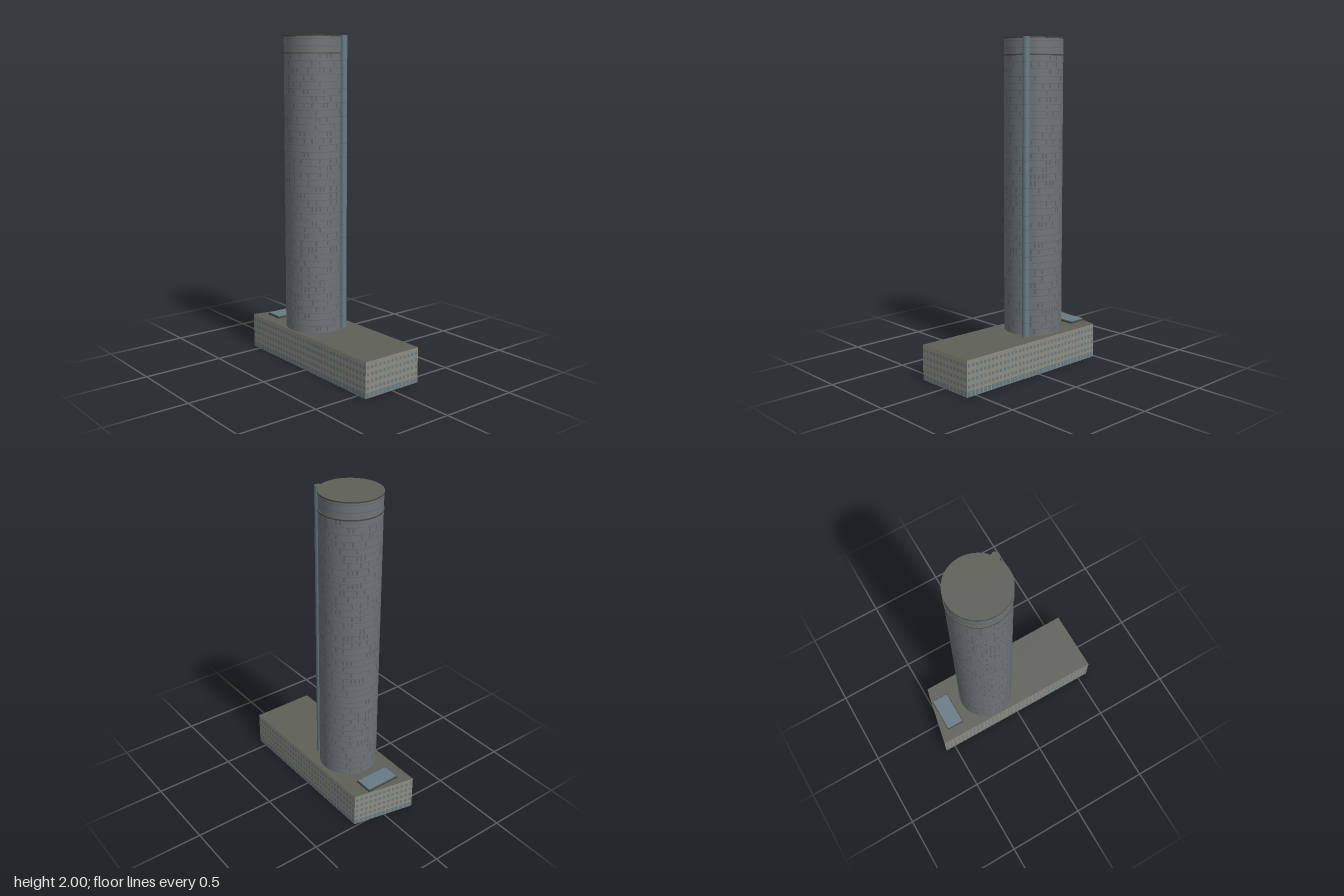
import * as THREE from 'three';
import { mergeGeometries } from 'three/addons/utils/BufferGeometryUtils.js';

const paint = (color) => new THREE.MeshStandardMaterial({ color });
const stone = paint(0x8f8b81), roof = paint(0x5e6058), concrete = paint(0x6e7377);
const glass = paint(0x677a84), trim = paint(0x45483f), pane = paint(0x5a6265);

const BASE_H = 0.215, TOP = 2;
const CORNERS = [[-0.565, 0.19], [0.565, 0.2], [0.565, -0.2], [-0.485, -0.2]]; // x, z
const TOWER = { x: -0.15, z: 0.008, r: 0.178 };
const TURRET = { x: 0.008, z: -0.092, r: 0.022 };

function add(parent, name, geometry, material, x = 0, y = 0, z = 0) {
  const mesh = new THREE.Mesh(geometry, material);
  mesh.name = name;
  mesh.position.set(x, y, z);
  parent.add(mesh);
  return mesh;
}

function seeded(seed) {
  return () => (seed = (seed * 16807) % 2147483647) / 2147483647;
}

// Window panels lying just proud of each straight podium wall
function podiumWindows() {
  const panels = [];
  CORNERS.forEach(([ax, az], i) => {
    const [bx, bz] = CORNERS[(i + 1) % CORNERS.length];
    const length = Math.hypot(bx - ax, bz - az);
    const angle = Math.atan2(az - bz, bx - ax);
    const bays = Math.round(length / 0.03);
    const pitch = length / bays;
    for (let bay = 0; bay < bays; bay++) {
      const t = (bay + 0.5) / bays;
      for (let floor = 0; floor < 5; floor++) {
        const ground = floor === 0;
        const panel = new THREE.PlaneGeometry(pitch * (ground ? 0.8 : 0.55), ground ? 0.032 : 0.018);
        panel.translate(0, ground ? 0.018 : 0.018 + floor * 0.041, 0.0008);
        panel.rotateY(angle);
        panel.translate(ax + (bx - ax) * t, 0, az + (bz - az) * t);
        panels.push(panel);
      }
    }
  });
  return mergeGeometries(panels);
}

// Irregularly scattered windows around the shaft
function towerWindows() {
  const random = seeded(71), panels = [], bays = 48;
  for (let floor = 0; floor < 41; floor++) {
    for (let bay = 0; bay < bays; bay++) {
      if (random() > 0.3) continue;
      const panel = new THREE.PlaneGeometry(0.009, 0.026);
      panel.translate(0, BASE_H + 0.025 + floor * 0.041, TOWER.r + 0.0006);
      panel.rotateY(((bay + 0.5) / bays) * Math.PI * 2);
      panels.push(panel);
    }
  }
  return mergeGeometries(panels);
}

// Thin rings marking the floors of a round shaft
function floorLines(radius, step) {
  const rings = [];
  for (let y = BASE_H + step; y < TOP - 0.02; y += step) {
    const ring = new THREE.CylinderGeometry(radius, radius, 0.0025, 48, 1, true);
    ring.translate(0, y, 0);
    rings.push(ring);
  }
  return mergeGeometries(rings);
}

function createPodium() {
  const podium = new THREE.Group();
  podium.name = 'podium';
  const plan = new THREE.Shape(CORNERS.map(([x, z]) => new THREE.Vector2(x, -z)));
  const block = new THREE.ExtrudeGeometry(plan, { depth: BASE_H, bevelEnabled: false });
  block.rotateX(-Math.PI / 2);
  add(podium, 'podiumBlock', block, [roof, stone]);
  add(podium, 'podiumWindows', podiumWindows(), glass);

  // Roof skylight: stepped frame around a glass panel
  const frame = new THREE.Shape();
  frame.moveTo(-0.058, -0.112).lineTo(0.058, -0.112).lineTo(0.058, 0.112).lineTo(-0.058, 0.112);
  const hole = new THREE.Path();
  hole.moveTo(-0.052, -0.106).lineTo(-0.052, 0.106).lineTo(0.052, 0.106).lineTo(0.052, -0.106);
  frame.holes.push(hole);
  const frameGeometry = new THREE.ExtrudeGeometry(frame, { depth: 0.01, bevelEnabled: false });
  frameGeometry.rotateX(-Math.PI / 2);
  add(podium, 'skylightFrame', frameGeometry, trim, -0.442, BASE_H, 0.008);
  add(podium, 'skylightGlass', new THREE.BoxGeometry(0.106, 0.015, 0.214), glass, -0.442, BASE_H + 0.0075, 0.008);
  return podium;
}

function createTower() {
  const tower = new THREE.Group();
  tower.name = 'tower';
  tower.position.set(TOWER.x, 0, TOWER.z);
  const height = TOP - BASE_H;
  const shaft = new THREE.CylinderGeometry(TOWER.r, TOWER.r, height, 64);
  add(tower, 'towerShaft', shaft, [concrete, roof, roof], 0, BASE_H + height / 2, 0);
  add(tower, 'towerWindows', towerWindows(), pane);
  add(tower, 'towerFloorLines', floorLines(TOWER.r + 0.0003, 0.041), pane);

  // Projecting ledges: below the top storey and at the roof edge
  for (const [name, y] of [['upperLedge', 1.897], ['roofSlab', TOP - 0.004]]) {
    add(tower, name, new THREE.CylinderGeometry(0.181, 0.181, 0.008, 64), [trim, roof, trim], 0, y, 0);
  }
  return tower;
}

// Slender glazed stair turret against the back of the shaft
function createTurret() {
  const turret = new THREE.Group();
  turret.name = 'stairTurret';
  turret.position.set(TURRET.x, 0, TURRET.z);
  const height = TOP - BASE_H;
  const shaft = new THREE.CylinderGeometry(TURRET.r, TURRET.r, height, 24);
  add(turret, 'turretShaft', shaft, [glass, roof, roof], 0, BASE_H + height / 2, 0);
  add(turret, 'turretFloorLines', floorLines(TURRET.r + 0.0004, 0.082), pane);
  return turret;
}

export function createModel() {
  const model = new THREE.Group();
  model.name = 'towerBuilding';
  model.add(createPodium(), createTower(), createTurret());
  return model;
}
